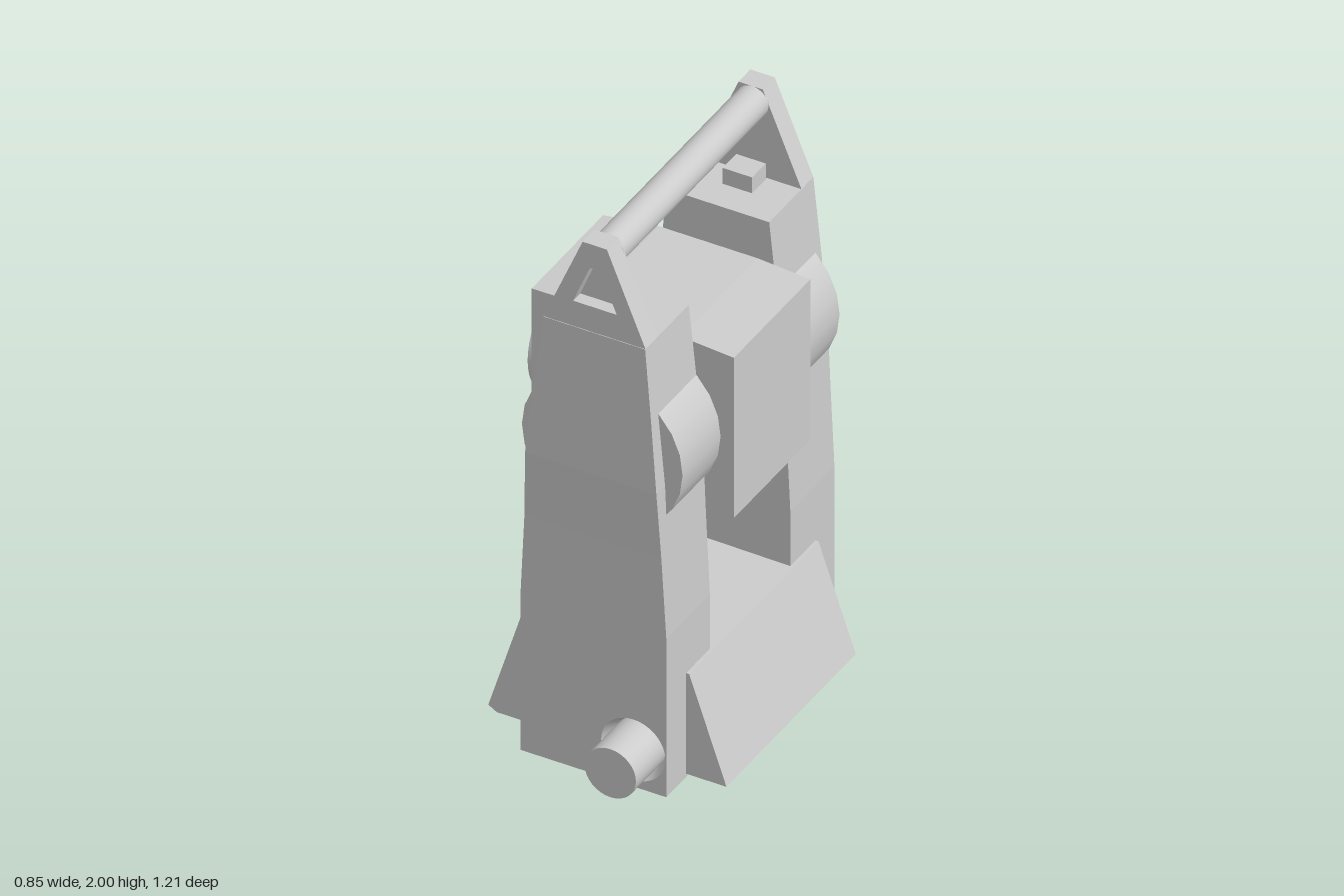
import * as THREE from 'three';

const material = new THREE.MeshStandardMaterial({ color: 0xcccccc });
const flat = new THREE.MeshStandardMaterial({ color: 0xcccccc, flatShading: true });

function add(parent, name, geometry, mat = flat) {
  const mesh = new THREE.Mesh(geometry, mat);
  mesh.name = name;
  parent.add(mesh);
  return mesh;
}

// Box given by its limits on each axis
function box(parent, name, x0, x1, y0, y1, z0, z1) {
  const mesh = add(parent, name, new THREE.BoxGeometry(x1 - x0, y1 - y0, z1 - z0));
  mesh.position.set((x0 + x1) / 2, (y0 + y1) / 2, (z0 + z1) / 2);
  return mesh;
}

// Skin over four-cornered rings, closed at both ends
function loft(rings) {
  const pos = [];
  const quad = (a, b, c, d) => pos.push(...a, ...b, ...c, ...a, ...c, ...d);
  for (let i = 0; i < rings.length - 1; i++) {
    for (let j = 0; j < 4; j++) {
      const k = (j + 1) % 4;
      quad(rings[i][j], rings[i][k], rings[i + 1][k], rings[i + 1][j]);
    }
  }
  quad(...[...rings[0]].reverse());
  quad(...rings[rings.length - 1]);
  const geometry = new THREE.BufferGeometry();
  geometry.setAttribute('position', new THREE.Float32BufferAttribute(pos, 3));
  geometry.computeVertexNormals();
  return geometry;
}

function polygon(points) {
  return new THREE.Shape(points.map(([x, y]) => new THREE.Vector2(x, y)));
}

function extrude(shape, depth) {
  return new THREE.ExtrudeGeometry(shape, { depth, bevelEnabled: false, curveSegments: 32 });
}

function lathe(points) {
  return new THREE.LatheGeometry(points.map(([r, y]) => new THREE.Vector2(r, y)), 40);
}

// Upper column outline: height, left x, right x, front bulge
const COLUMN = [
  [0.6, -0.235, 0.282, 0], [0.9, -0.218, 0.268, 0.006], [1.15, -0.208, 0.258, 0.02],
  [1.4, -0.183, 0.235, 0.011], [1.67, -0.155, 0.207, 0],
];
const KNOB = { x: 0.165, y: 0.14 };

function upperColumn(z0, z1, bulge) {
  return loft(COLUMN.map(([y, l, r, b]) => {
    const f = z1 + b * bulge;
    return [[l, y, f], [r, y, f], [r, y, z0], [l, y, z0]];
  }));
}

function makePillar(front) {
  const pillar = new THREE.Group();
  pillar.name = front ? 'frontPillar' : 'backPillar';
  const z0 = front ? 0.185 : -0.6;
  const z1 = front ? 0.46 : -0.322;
  add(pillar, 'upperColumn', upperColumn(z0, z1, front ? 1 : 0));

  // Lower column, with a round opening on the front one
  if (front) {
    box(pillar, 'lowerColumn', -0.235, 0.282, 0, 0.6, z0, 0.41);
    const face = polygon([[-0.235, 0], [0.282, 0], [0.282, 0.6], [-0.235, 0.6]]);
    face.holes.push(new THREE.Path().absarc(KNOB.x, KNOB.y, 0.114, 0, Math.PI * 2, true));
    add(pillar, 'lowerFace', extrude(face, 0.05)).position.z = 0.41;
  } else {
    box(pillar, 'lowerColumn', -0.235, 0.282, 0, 0.6, z0, z1);
  }

  // Round side housing of the tilting axis
  const housing = add(pillar, 'axisHousing', new THREE.CylinderGeometry(0.285, 0.285, 0.24, 24), material);
  housing.rotation.x = Math.PI / 2;
  housing.position.set(0.035, 1.21, front ? 0.305 : -0.445);

  // Handle bracket with a blind triangular recess on its outer side
  const outline = polygon([[-0.155, 1.67], [0.207, 1.67], [0.07, 2], [-0.016, 2]]);
  const recessed = outline.clone();
  recessed.holes.push(polygon([[-0.05, 1.765], [0.01, 1.91], [0.045, 1.91], [0.105, 1.765]]));
  add(pillar, 'bracketFrame', extrude(recessed, 0.045)).position.z = front ? 0.413 : -0.6;
  add(pillar, 'bracketBack', extrude(outline, 0.03)).position.z = front ? 0.383 : -0.555;

  const s = front ? 0.3 : -0.517;
  box(pillar, 'topCatch', -0.02, 0.085, 1.66, 1.73, s, s + 0.086);
  return pillar;
}

function makeTelescope() {
  const group = new THREE.Group();
  group.name = 'telescope';
  const sections = [
    [-0.37, 0.905, 1.51, -0.3, 0.15], [-0.18, 0.89, 1.525, -0.315, 0.167],
    [0.17, 0.89, 1.525, -0.315, 0.167], [0.357, 0.903, 1.51, -0.315, 0.167],
  ];
  add(group, 'telescopeBody', loft(sections.map(([x, y0, y1, z0, z1]) =>
    [[x, y0, z1], [x, y0, z0], [x, y1, z0], [x, y1, z1]])));

  // Lens rim with a sunken glass disc
  const parts = [
    ['lensRimWall', [[0.187, 0], [0.187, 0.04]]],
    ['lensRimFace', [[0.187, 0.04], [0.165, 0.04]]],
    ['lensRimInside', [[0.165, 0.04], [0.165, 0.012]]],
    ['lensGlass', [[0.165, 0.012], [0, 0.012]]],
  ];
  for (const [name, points] of parts) {
    const mesh = add(group, name, lathe(points), material);
    mesh.rotation.z = Math.PI / 2;
    mesh.position.set(-0.366, 1.2, -0.075);
  }
  // Short axles into the pillars
  const axle = add(group, 'tiltAxle', new THREE.CylinderGeometry(0.12, 0.12, 0.56, 24), material);
  axle.rotation.x = Math.PI / 2;
  axle.position.set(0.035, 1.21, -0.07);
  return group;
}

function makeControlPanel() {
  const panel = new THREE.Group();
  panel.name = 'controlPanel';
  panel.position.set(-0.3625, 0.215, 0);
  panel.rotation.z = -Math.atan2(0.115, 0.37);

  // Display with a raised border
  box(panel, 'display', -0.003, 0.005, -0.09, 0.11, -0.365, -0.03);
  for (const z of [-0.365, -0.036]) box(panel, 'displayBorder', -0.007, 0, -0.09, 0.11, z, z + 0.006);
  for (const y of [-0.09, 0.104]) box(panel, 'displayBorder', -0.007, 0, y, y + 0.006, -0.365, -0.03);

  // Four arrow keys pointing outward
  const arrow = extrude(polygon([[-0.045, 0.05], [0.045, 0.05], [0, 0.14]]), 0.012);
  for (let i = 0; i < 4; i++) {
    const pivot = new THREE.Group();
    pivot.name = 'arrowKey';
    pivot.position.set(0, -0.01, 0.16);
    pivot.rotation.y = -Math.PI / 2;
    add(pivot, 'arrowKeyCap', arrow).rotation.z = i * Math.PI / 2;
    panel.add(pivot);
  }
  // Row of small keys
  for (const z of [-0.415, -0.307, -0.19, -0.062, 0.063]) {
    box(panel, 'functionKey', -0.012, 0.004, -0.18, -0.135, z - 0.024, z + 0.024);
  }
  return panel;
}

export function createModel() {
  const model = new THREE.Group();
  model.name = 'surveyingInstrument';

  // Sloping base between the pillars
  const base = polygon([[-0.39, 0.012], [0.425, 0.012], [0.293, 0.393], [-0.305, 0.402], [-0.42, 0.03]]);
  add(model, 'base', extrude(base, 0.815)).position.z = -0.48;

  model.add(makePillar(true), makePillar(false), makeTelescope(), makeControlPanel());

  // Carrying handle
  const handle = add(model, 'handleRod', new THREE.CylinderGeometry(0.057, 0.057, 0.92, 32), material);
  handle.rotation.x = Math.PI / 2;
  handle.position.set(0.033, 1.943, -0.073);

  // Adjustment knob in its dished seat
  const dish = add(model, 'knobSeat', lathe([[0.114, 0.46], [0.09, 0.415]]), material);
  const knob = add(model, 'adjustmentKnob', new THREE.CylinderGeometry(0.091, 0.091, 0.2, 32), material);
  dish.rotation.x = knob.rotation.x = Math.PI / 2;
  dish.position.set(KNOB.x, KNOB.y, 0);
  knob.position.set(KNOB.x, KNOB.y, 0.505);
  return model;
}
